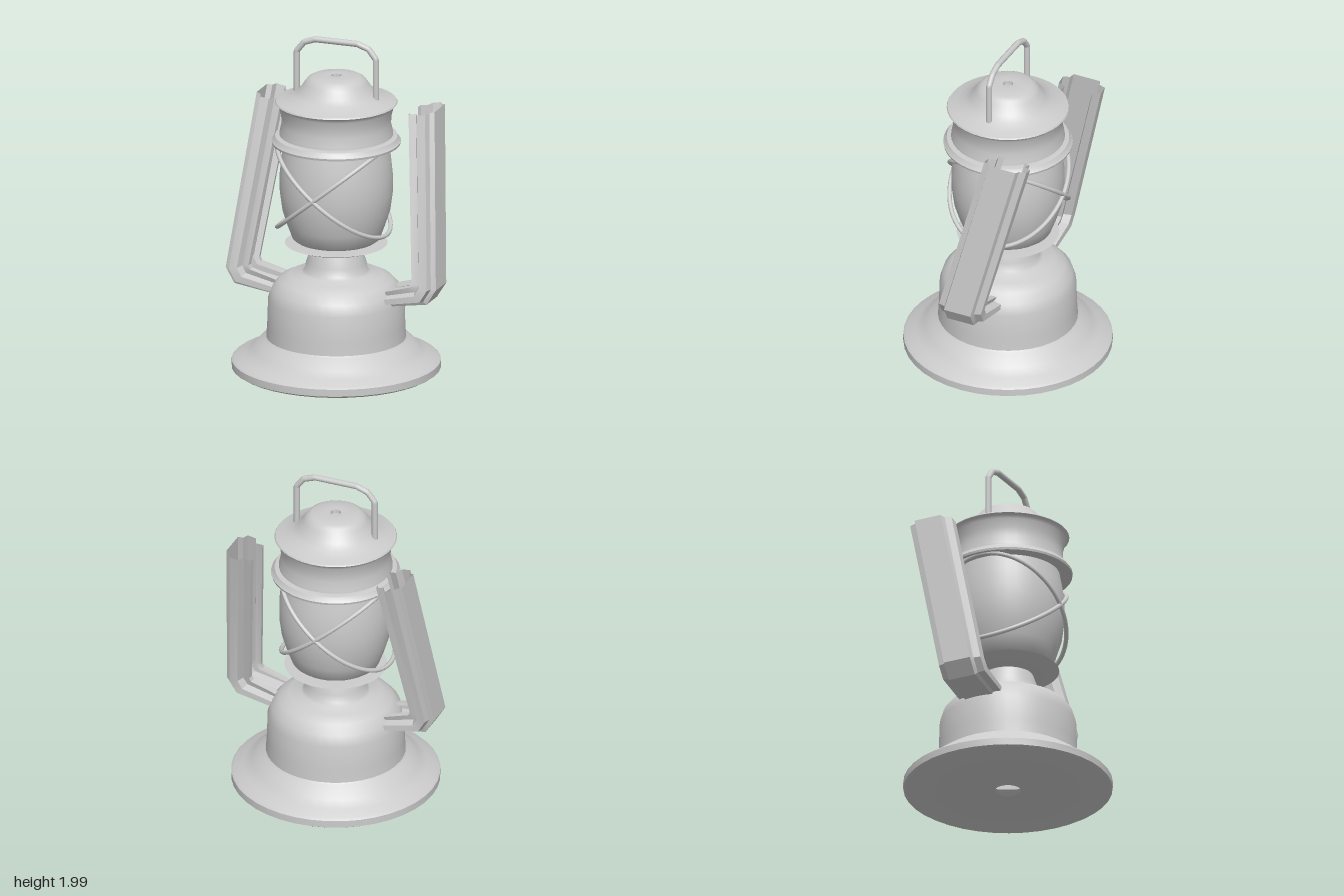
import * as THREE from 'three';
import { toCreasedNormals } from 'three/addons/utils/BufferGeometryUtils.js';

const metal = new THREE.MeshStandardMaterial({ color: 0xcccccc, side: THREE.DoubleSide });

function add(parent, name, geometry) {
  const mesh = new THREE.Mesh(geometry, metal);
  mesh.name = name;
  parent.add(mesh);
  return mesh;
}

// Turned part from [radius, height] pairs, listed bottom to top
function turned(parent, name, profile) {
  const points = profile.map(([r, y]) => new THREE.Vector2(r, y));
  return add(parent, name, toCreasedNormals(new THREE.LatheGeometry(points, 40), 0.7));
}

// Half of the fluted channel section: [0 = inner .. 1 = outer, half width]
const half = [[0, 0.065], [0.03, 0.1], [0.3, 0.09], [0.42, 0.135], [0.75, 0.135], [0.82, 0.095], [1, 0.085]];
const section = [...half, ...half.map(([t, w]) => [t, -w]).reverse()];

// Stations along the side channel: inner x, y, outer x, y, centre z
const stations = [
  [0.39, 1.54, 0.55, 1.57, -0.237],
  [0.5, 0.6, 0.65, 0.57, 0.005],
  [0.49, 0.58, 0.595, 0.48, 0.01],
  [0.34, 0.535, 0.35, 0.44, 0.005],
];

function channelGeometry(side) {
  const position = [];
  const index = [];
  const n = section.length;
  for (const [ix, iy, ox, oy, z] of stations) {
    for (const [t, w] of section) {
      position.push(side * (ix + (ox - ix) * t), iy + (oy - iy) * t, z + w);
    }
  }
  for (let s = 0; s < stations.length - 1; s++) {
    for (let i = 0; i < n - 1; i++) {
      const a = s * n + i, b = a + 1, c = a + n, d = c + 1;
      if (side > 0) index.push(a, b, c, b, d, c);
      else index.push(a, c, b, b, c, d);
    }
  }
  const geometry = new THREE.BufferGeometry();
  geometry.setAttribute('position', new THREE.Float32BufferAttribute(position, 3));
  geometry.setIndex(index);
  return toCreasedNormals(geometry, 0.4);
}

// Closed wire loop tilted sideways around the globe
class TiltedLoop extends THREE.Curve {
  constructor(side) {
    super();
    this.side = side;
  }
  getPoint(t, target = new THREE.Vector3()) {
    const a = t * Math.PI * 2;
    return target.set(this.side * 0.325 * Math.cos(a) - 0.015, 1.108 + 0.265 * Math.cos(a), 0.35 * Math.sin(a));
  }
}

export function createModel() {
  const lantern = new THREE.Group();
  lantern.name = 'lantern';

  // Flared foot, fuel tank and burner neck in one shell, with a hole underneath
  turned(lantern, 'baseAndTank', [
    [0.075, 0.005], [0.585, 0.005], [0.606, 0.018], [0.606, 0.06], [0.59, 0.073], [0.535, 0.095],
    [0.485, 0.13], [0.45, 0.17], [0.415, 0.19], [0.405, 0.2], [0.4, 0.28], [0.395, 0.43],
    [0.375, 0.495], [0.33, 0.545], [0.27, 0.575], [0.2, 0.59], [0.183, 0.605], [0.175, 0.65],
    [0.15, 0.72], [0.14, 0.75],
  ]);

  // Thin dished plate under the globe
  turned(lantern, 'burnerPlate', [
    [0.12, 0.725], [0.16, 0.73], [0.25, 0.748], [0.297, 0.766], [0.25, 0.768], [0.14, 0.765], [0.13, 0.79],
  ]);

  turned(lantern, 'globe', [
    [0, 0.785], [0.235, 0.785], [0.255, 0.8], [0.285, 0.88], [0.313, 0.97], [0.328, 1.08],
    [0.328, 1.18], [0.318, 1.28], [0.3, 1.38],
  ]);

  turned(lantern, 'globeRing', [
    [0.29, 1.372], [0.372, 1.372], [0.375, 1.385], [0.365, 1.395], [0.355, 1.415], [0.335, 1.42], [0.31, 1.42],
  ]);

  // Waisted chimney with an overhanging stepped cap
  turned(lantern, 'chimneyAndCap', [
    [0.3, 1.425], [0.33, 1.425], [0.328, 1.44], [0.317, 1.49], [0.32, 1.54], [0.333, 1.59],
    [0.34, 1.608], [0.355, 1.617], [0.35, 1.625], [0.3, 1.64], [0.25, 1.662], [0.215, 1.69],
    [0.185, 1.735], [0.165, 1.76], [0.14, 1.773], [0.06, 1.78], [0.03, 1.778], [0.028, 1.755],
  ]);

  // Carrying handle bent from a rod
  const bends = [[0.245, 1.65], [0.245, 1.9], [0.2, 1.957], [0.13, 1.982]];
  const rod = [...bends.map(([x, y]) => [-x, y]), ...bends.reverse()].map(([x, y]) => new THREE.Vector3(x, y, 0));
  const handlePath = new THREE.CurvePath();
  for (let i = 0; i < rod.length - 1; i++) handlePath.add(new THREE.LineCurve3(rod[i], rod[i + 1]));
  add(lantern, 'handle', new THREE.TubeGeometry(handlePath, 90, 0.018, 10, false));

  // Mirrored wire guards and side channels
  for (const side of [1, -1]) {
    const label = side > 0 ? 'left' : 'right';
    add(lantern, label + 'GuardWire', new THREE.TubeGeometry(new TiltedLoop(side), 72, 0.013, 8, true));
    add(lantern, label + 'SideChannel', channelGeometry(side));
  }

  return lantern;
}
